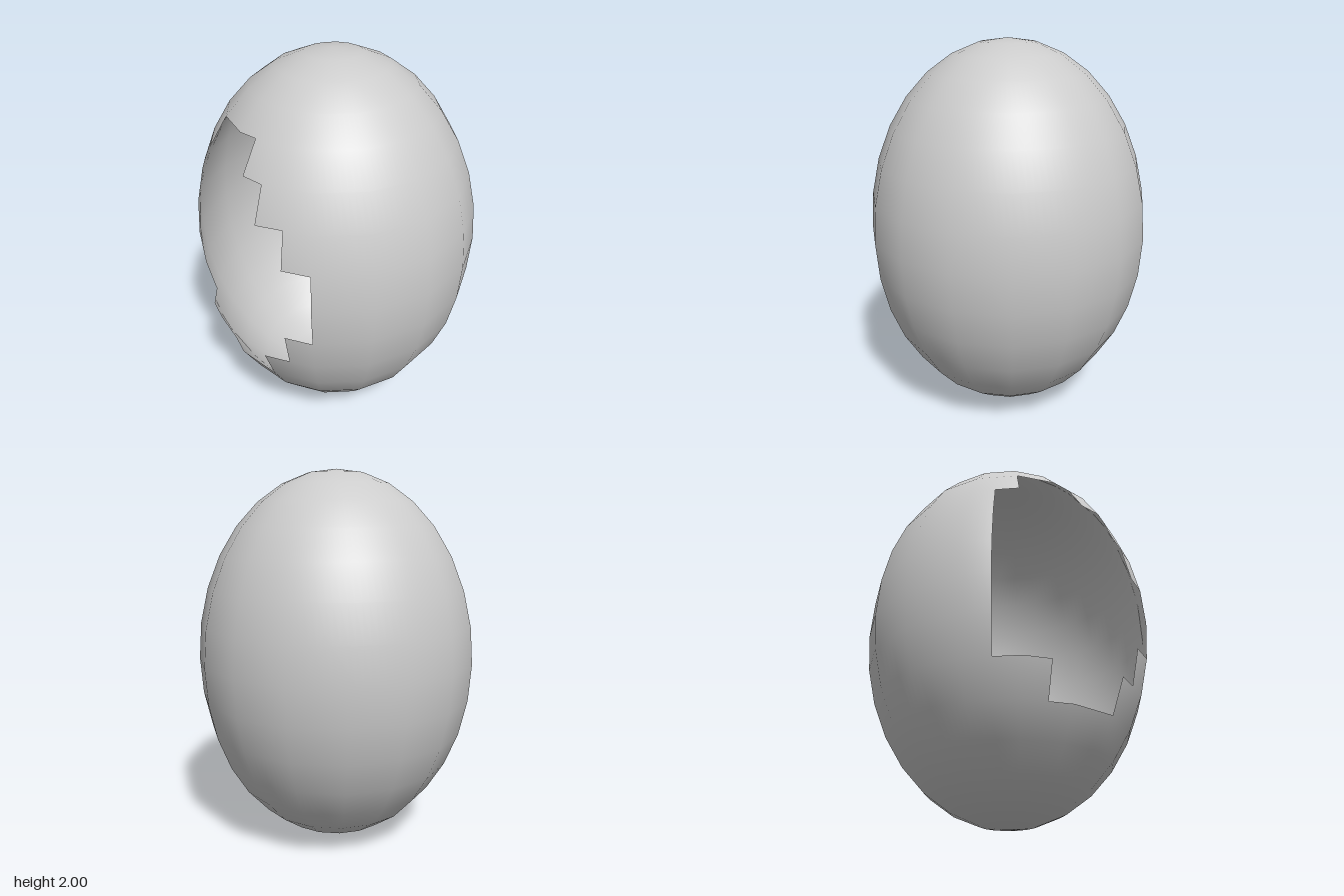
import * as THREE from 'three';

const SEGMENTS = 16, ROWS = 16, SUB = 8;      // facets around, rings, steps per facet
const RADIUS = 0.745, CENTRE_Z = 0.04;

// Jagged crack around the egg: [facet position from the front toward +x, height]
const CRACK = [
  [0, 1.2], [1.75, 0.95], [2.38, 1.23], [2.75, 1.0], [3, 0.89], [3.375, 0.855], [4, 0.95],
  [4.25, 0.845], [5, 1.0], [5.25, 1.23], [5.875, 0.85], [6.375, 1.22], [6.75, 0.87],
  [7.125, 1.24], [7.375, 0.87], [7.625, 1.21], [8.125, 0.87], [8.375, 1.24],
  [9.125, 0.87], [9.625, 1.24], [10.5, 0.85], [11, 1.0], [12, 1.08], [12.5, 1.1],
  [13.25, 0.91], [14, 1.383], [16, 1.383],
];

// Missing cells at the front: ring row -> [from facet, to facet]
const HOLE = {
  4: [-1, 0.5], 5: [-1.5, 1], 6: [-1.5, 1.5], 7: [-1.5, 2],
  8: [-1.5, 2], 9: [-1.5, 1.5], 10: [-0.5, 1],
};

const ringY = (i) => 1 + Math.cos((i * Math.PI) / ROWS);
const ringR = (i) => RADIUS * Math.sin((i * Math.PI) / ROWS);

function crackY(u) {
  const i = Math.max(1, CRACK.findIndex((p) => p[0] >= u));
  const [u0, y0] = CRACK[i - 1], [u1, y1] = CRACK[i];
  return y0 + ((y1 - y0) * (u - u0)) / (u1 - u0);
}

function inHole(row, u) {
  const span = HOLE[row];
  const k = u > SEGMENTS / 2 ? u - SEGMENTS : u;
  return !!span && k > span[0] && k < span[1];
}

// Point on the faceted egg, within one row at a given height
function surfacePoint(u, y, row) {
  const t = (ringY(row) - y) / (ringY(row) - ringY(row + 1));
  const r = THREE.MathUtils.lerp(ringR(row), ringR(row + 1), t);
  const k = Math.floor(u), f = u - k, step = (2 * Math.PI) / SEGMENTS;
  const x = THREE.MathUtils.lerp(Math.sin(k * step), Math.sin((k + 1) * step), f);
  const z = THREE.MathUtils.lerp(Math.cos(k * step), Math.cos((k + 1) * step), f);
  return new THREE.Vector3(r * x, y, r * z);
}

// One half of the shell, clipped to its side of the crack
function shellGeometry(isUpper) {
  const positions = [], normals = [];
  const triangle = (...points) => {
    const [a, b, c] = points;
    const area = b.clone().sub(a).cross(c.clone().sub(a)).length();
    if (area < 1e-7) return;
    for (const p of points) {
      const n = new THREE.Vector3(p.x / RADIUS ** 2, p.y - 1, p.z / RADIUS ** 2).normalize();
      positions.push(p.x, p.y, p.z + CENTRE_Z);
      normals.push(n.x, n.y, n.z);
    }
  };
  for (let row = 0; row < ROWS; row++) {
    for (let s = 0; s < SEGMENTS * SUB; s++) {
      const u0 = s / SUB, u1 = (s + 1) / SUB;
      if (inHole(row, (u0 + u1) / 2)) continue;
      const corner = (u, i) => {
        const limit = THREE.MathUtils.clamp(crackY(u), ringY(row + 1), ringY(row));
        const y = isUpper ? Math.max(ringY(i), limit) : Math.min(ringY(i), limit);
        return surfacePoint(u, y, row);
      };
      const a = corner(u0, row), b = corner(u0, row + 1);
      const c = corner(u1, row + 1), d = corner(u1, row);
      triangle(a, b, c);
      triangle(a, c, d);
    }
  }
  const geometry = new THREE.BufferGeometry();
  geometry.setAttribute('position', new THREE.Float32BufferAttribute(positions, 3));
  geometry.setAttribute('normal', new THREE.Float32BufferAttribute(normals, 3));
  return geometry;
}

export function createModel() {
  const egg = new THREE.Group();
  egg.name = 'crackedEgg';
  const material = new THREE.MeshStandardMaterial({ color: 0xcccccc, side: THREE.DoubleSide });
  for (const [name, isUpper] of [['upperShell', true], ['lowerShell', false]]) {
    const shell = new THREE.Mesh(shellGeometry(isUpper), material);
    shell.name = name;
    egg.add(shell);
  }
  return egg;
}
